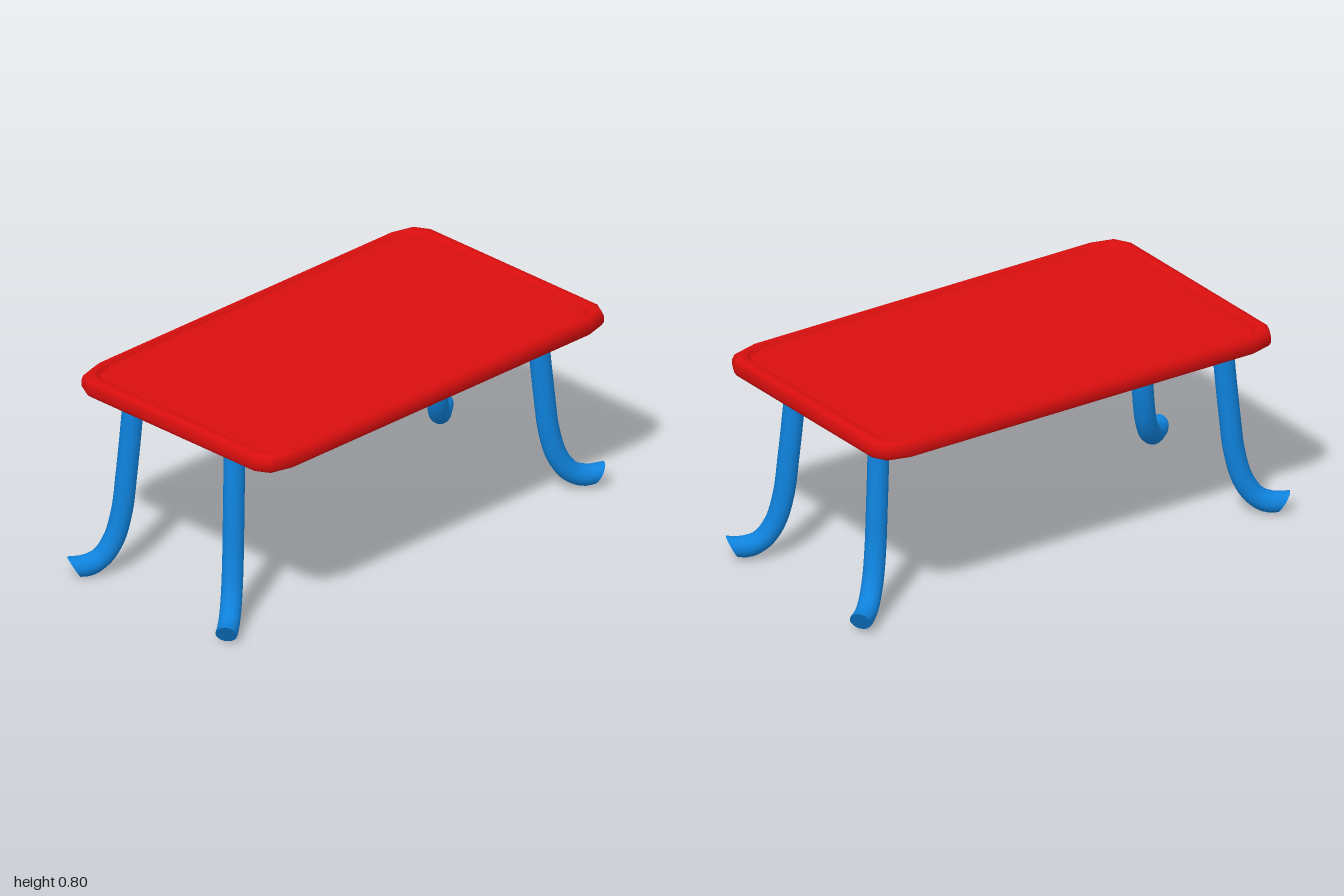
import * as THREE from 'three';
import { toCreasedNormals, mergeGeometries } from 'three/addons/utils/BufferGeometryUtils.js';

const red = new THREE.MeshStandardMaterial({ color: 0xd80e0e });
const blue = new THREE.MeshStandardMaterial({ color: 0x0f82dc, side: THREE.DoubleSide });

// Rounded-corner outline, counter-clockwise seen from above
function outline(hx, hz) {
  const corner = [[hx, hz - 0.08], [hx - 0.03, hz - 0.025], [hx - 0.12, hz]];
  const mirrored = (sx, sz) => corner.map(([x, z]) => [sx * x, sz * z]);
  return [
    ...mirrored(1, -1), ...mirrored(-1, -1).reverse(),
    ...mirrored(-1, 1), ...mirrored(1, 1).reverse(),
  ];
}

// Tray-like top: stacked outlines from the underside, over the rim, to the sunken floor
function tabletopGeometry() {
  const hx = 0.9125, hz = 0.5275;
  const rings = [ // inset x, inset z, y
    [0.03, 0.022, 0.733], [0.006, 0.006, 0.737], [0, 0, 0.75], [0, 0, 0.775], [0.006, 0.005, 0.793],
    [0.022, 0.013, 0.803], [0.045, 0.02, 0.803], [0.054, 0.026, 0.797], [0.06, 0.033, 0.785],
  ].map(([ix, iz, y]) => outline(hx - ix, hz - iz).map(([x, z]) => [x, y, z]));
  const n = rings[0].length, pos = [];
  const tri = (...pts) => pts.forEach((p) => pos.push(...p));
  for (let j = 0; j < n; j++) {
    const k = (j + 1) % n;
    tri([0, 0.733, 0], rings[0][k], rings[0][j]);
    for (let i = 0; i < rings.length - 1; i++) {
      const a = rings[i], b = rings[i + 1];
      tri(a[j], a[k], b[k]);
      tri(a[j], b[k], b[j]);
    }
    const top = rings.at(-1);
    tri(top[j], top[k], [0, 0.785, 0]);
  }
  const geo = new THREE.BufferGeometry();
  geo.setAttribute('position', new THREE.Float32BufferAttribute(pos, 3));
  return toCreasedNormals(geo, 0.7);
}

// Bent tube leg: [outward fraction, height] profile laid from the top point to the foot point
const profile = [[0, 0.75], [0.04, 0.62], [0.12, 0.42], [0.2, 0.26], [0.34, 0.145], [0.55, 0.077], [0.78, 0.054], [1, 0.056]];
const SEG = 40, SIDES = 20, RADIUS = 0.041;

function legGeometry(top, foot, drop) {
  const path = new THREE.CatmullRomCurve3(profile.map(([u, y]) => new THREE.Vector3(
    THREE.MathUtils.lerp(top[0], foot[0], u),
    y - drop * u,
    THREE.MathUtils.lerp(top[1], foot[1], u))));
  const tube = new THREE.TubeGeometry(path, SEG, RADIUS, SIDES);
  const p = tube.attributes.position;
  const out = new THREE.Vector3(foot[0] - top[0], 0, foot[1] - top[1]).normalize();
  // Slant the foot end so its upper lip reaches further out
  for (let i = SEG - 5; i <= SEG; i++) {
    const cy = path.getPointAt(i / SEG).y, k = 0.6 * (i - SEG + 5) / 5;
    for (let j = 0; j <= SIDES; j++) {
      const v = i * (SIDES + 1) + j, s = (p.getY(v) - cy) * k;
      p.setX(v, p.getX(v) + out.x * s);
      p.setZ(v, p.getZ(v) + out.z * s);
    }
  }
  // Flat cap on the foot
  const end = path.getPointAt(1), cap = [];
  for (let j = 0; j < SIDES; j++) {
    const corners = [0, 1].map((d) => new THREE.Vector3().fromBufferAttribute(p, SEG * (SIDES + 1) + j + d));
    const normal = corners[0].clone().sub(end).cross(corners[1].clone().sub(end));
    if (normal.dot(out) < 0) corners.reverse();
    [end, ...corners].forEach((c) => cap.push(c.x, c.y, c.z));
  }
  const capGeo = new THREE.BufferGeometry();
  capGeo.setAttribute('position', new THREE.Float32BufferAttribute(cap, 3));
  capGeo.computeVertexNormals();
  const body = tube.toNonIndexed();
  body.deleteAttribute('uv');
  return mergeGeometries([body, capGeo]);
}

export function createModel() {
  const model = new THREE.Group();
  model.name = 'table';

  const tabletop = new THREE.Mesh(tabletopGeometry(), red);
  tabletop.name = 'tabletop';
  tabletop.position.set(0.0125, 0, -0.004);
  model.add(tabletop);

  const legs = [ // name, top [x, z], foot [x, z], foot drop
    ['frontLeftLeg', [0.755, 0.28], [0.967, 0.398], 0],
    ['backLeftLeg', [0.755, -0.258], [0.955, -0.42], 0],
    ['frontRightLeg', [-0.77, 0.208], [-0.96, 0.355], 0.012],
    ['backRightLeg', [-0.77, -0.328], [-0.967, -0.45], 0.012],
  ];
  for (const [name, top, foot, drop] of legs) {
    const leg = new THREE.Group();
    leg.name = name;
    const tube = new THREE.Mesh(legGeometry(top, foot, drop), blue);
    tube.name = 'legTube';
    // Red socket where the leg meets the top
    const socket = new THREE.Mesh(new THREE.CylinderGeometry(0.0425, 0.0425, 0.03, SIDES), red);
    socket.name = 'legSocket';
    socket.position.set(top[0], 0.73, top[1]);
    leg.add(tube, socket);
    model.add(leg);
  }
  return model;
}
